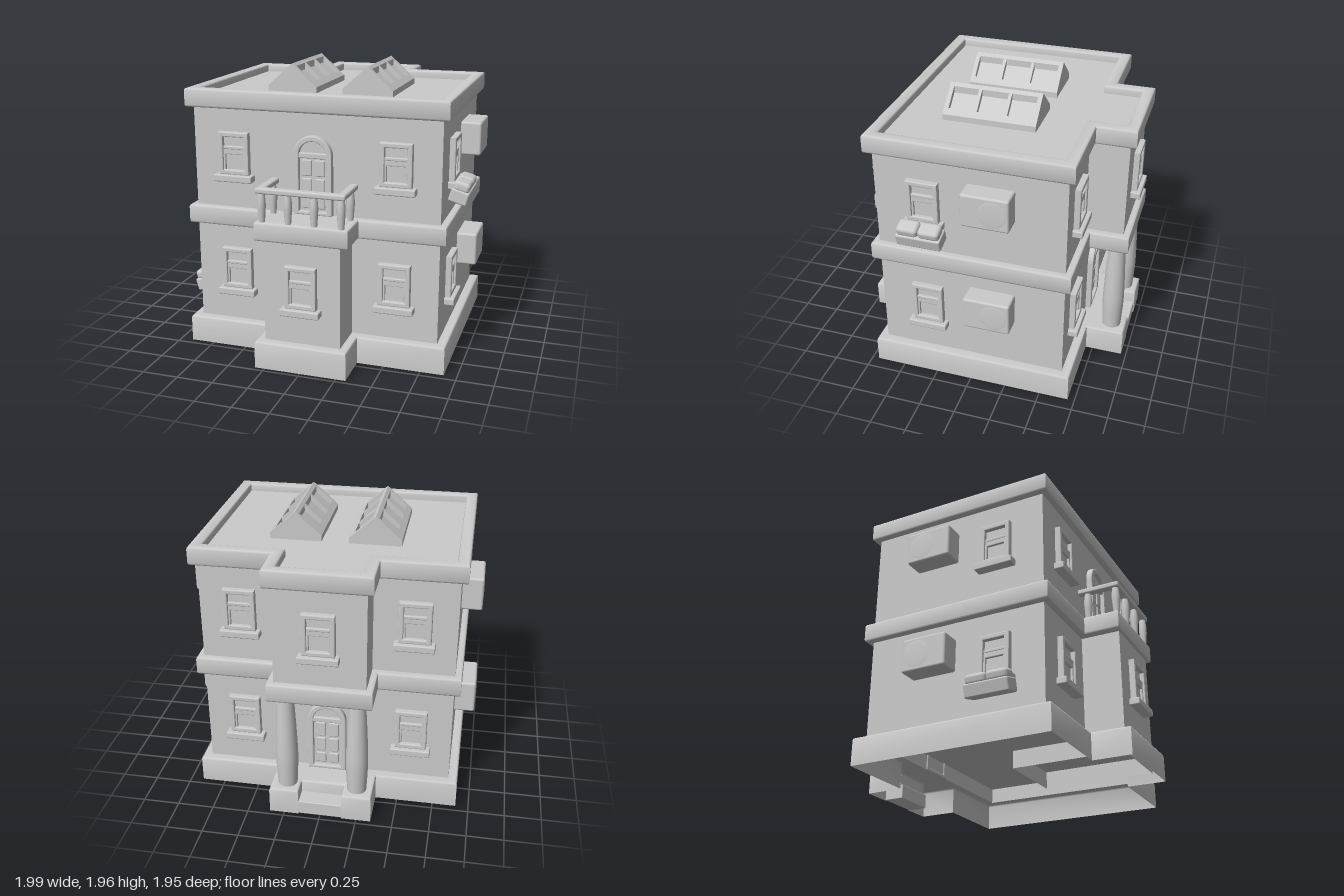
import * as THREE from 'three';
import { toCreasedNormals } from 'three/addons/utils/BufferGeometryUtils.js';
import { RoundedBoxGeometry } from 'three/addons/geometries/RoundedBoxGeometry.js';

const mat = new THREE.MeshStandardMaterial({ color: 0xcccccc, side: THREE.DoubleSide });

function mesh(name, geo, x = 0, y = 0, z = 0) {
  const m = new THREE.Mesh(geo, mat);
  m.name = name;
  m.position.set(x, y, z);
  return m;
}
const box = (w, h, d, r = 0.01) => new RoundedBoxGeometry(w, h, d, 2, r);
const lathe = (pts, n = 20) =>
  new THREE.LatheGeometry(new THREE.SplineCurve(pts.map(p => new THREE.Vector2(...p))).getPoints(16), n);

// Floor plan with optional front and back bays [half width, z] and porch notch, grown outward by o
const plan = ({ front, back, notch }) => o => {
  const W = 0.85 + o, D = 0.64 + o, p = [[-W, D]];
  if (front) {
    const w = front[0] + o, z = front[1] + o;
    p.push([-w, D], [-w, z], [w, z], [w, D]);
  }
  p.push([W, D], [W, -D]);
  if (back) {
    const w = back[0] + o, z = -back[1] - o, n = 0.21 - o, nz = -0.78 - o;
    p.push([w, -D], [w, z]);
    if (notch) p.push([n, z], [n, nz], [-n, nz], [-n, z]);
    p.push([-w, z], [-w, -D]);
  }
  p.push([-W, -D]);
  return p;
};

// Sweeps a profile of [offset, y] points around a plan
function band(planAt, profile) {
  const pos = [], rings = profile.map(([o, y]) => planAt(o).map(([x, z]) => [x, y, z]));
  for (let r = 0; r + 1 < rings.length; r++) {
    const lo = rings[r], hi = rings[r + 1];
    for (let i = 0; i < lo.length; i++) {
      const j = (i + 1) % lo.length;
      pos.push(...lo[i], ...lo[j], ...hi[j], ...lo[i], ...hi[j], ...hi[i]);
    }
  }
  const g = new THREE.BufferGeometry();
  g.setAttribute('position', new THREE.Float32BufferAttribute(pos, 3));
  return toCreasedNormals(g, 0.9);
}
const shapeOf = pts => new THREE.Shape(pts.map(([x, y]) => new THREE.Vector2(x, y)));
const slab = pts => new THREE.ShapeGeometry(shapeOf(pts.map(([x, z]) => [x, -z]))).rotateX(-Math.PI / 2);
const rect = (w, h, y = 0) => [[-w / 2, y - h / 2], [w / 2, y - h / 2], [w / 2, y + h / 2], [-w / 2, y + h / 2]];

function frameGeo(outer, inner, depth, bevel = 0.007) {
  outer.holes.push(inner);
  return new THREE.ExtrudeGeometry(outer, {
    depth: depth - bevel, bevelThickness: bevel, bevelSize: bevel, bevelOffset: -bevel,
    bevelSegments: 2, curveSegments: 16,
  });
}

// Sash window facing +z, centred on its frame
function makeWindow() {
  const g = new THREE.Group();
  g.name = 'window';
  g.add(mesh('frame', frameGeo(shapeOf(rect(0.215, 0.29)), shapeOf(rect(0.15, 0.225)), 0.04)));
  g.add(mesh('glass', box(0.17, 0.25, 0.02, 0.004)));
  g.add(mesh('lowerSash', frameGeo(shapeOf(rect(0.16, 0.17, -0.04)), shapeOf(rect(0.125, 0.105, -0.06)), 0.026, 0.005)));
  g.add(mesh('meetingRail', box(0.155, 0.022, 0.045, 0.006), 0, 0.038, 0.006));
  g.add(mesh('sill', box(0.27, 0.048, 0.085, 0.008), 0, -0.167, 0.025));
  return g;
}

function archShape(r, bottom, spring) {
  const s = new THREE.Shape();
  s.moveTo(-r, bottom);
  s.lineTo(r, bottom);
  s.absarc(0, spring, r, 0, Math.PI, false);
  return s;
}

// Arched door facing +z, standing on its threshold
function makeDoor() {
  const g = new THREE.Group();
  g.name = 'door';
  g.add(mesh('frame', frameGeo(archShape(0.132, 0, 0.4), archShape(0.095, 0.025, 0.4), 0.04)));
  g.add(mesh('leaf', new THREE.ExtrudeGeometry(archShape(0.11, 0, 0.4), { depth: 0.01, bevelEnabled: false })));
  g.add(mesh('transom', box(0.2, 0.035, 0.05, 0.006), 0, 0.4, 0.008));
  for (const x of [-0.045, 0.045])
    for (const [y, h] of [[0.315, 0.11], [0.19, 0.11], [0.08, 0.08]])
      g.add(mesh('panel', box(0.068, h, 0.02, 0.008), x, y, 0.01));
  return g;
}

// Gabled skylight with recessed panes, base at y = 0
function makeSkylight() {
  const g = new THREE.Group();
  g.name = 'skylight';
  const prism = (w, wall, top, d) => new THREE.ExtrudeGeometry(
    shapeOf([[-w, 0], [w, 0], [w, wall], [0, top], [-w, wall]]), { depth: d, bevelEnabled: false }).translate(0, 0, -d / 2);
  g.add(mesh('panes', prism(0.14, 0.03, 0.15, 0.6)));
  for (const [z, d] of [[-0.3, 0.03], [-0.102, 0.022], [0.102, 0.022], [0.3, 0.03]])
    g.add(mesh('rafter', prism(0.175, 0.04, 0.195, d), 0, 0, z));
  g.add(mesh('ridge', new THREE.ExtrudeGeometry(shapeOf([[-0.022, 0.11], [0.022, 0.11], [0.022, 0.176], [0, 0.195], [-0.022, 0.176]]),
    { depth: 0.6, bevelEnabled: false }), 0, 0, -0.3));
  for (const s of [-1, 1]) {
    const eave = mesh('eave', new THREE.ExtrudeGeometry(shapeOf([[0.13, 0], [0.175, 0], [0.175, 0.04], [0.14, 0.071]]),
      { depth: 0.6, bevelEnabled: false }), 0, 0, s > 0 ? -0.3 : 0.3);
    if (s < 0) eave.rotation.y = Math.PI;
    g.add(eave);
  }
  return g;
}

// Tipped flower trough hanging on the +x side
function makePlanter() {
  const g = new THREE.Group();
  g.name = 'planter';
  g.add(mesh('trough', box(0.125, 0.09, 0.305, 0.012)));
  for (const z of [-0.073, 0.073]) g.add(mesh('plant', box(0.105, 0.07, 0.146, 0.025), 0, 0.067, z));
  g.rotation.z = -0.28;
  return g;
}

export function createModel() {
  const model = new THREE.Group();
  const backBay = [0.304, 0.905];
  const lower = plan({ front: [0.262, 0.907] }), upper = plan({ back: backBay });
  const both = plan({ front: [0.272, 0.882], back: backBay });
  const base = plan({ front: [0.255, 0.907], back: [0.288, 0.903], notch: true });
  const place = (obj, x, y, z, turn = 0) => {
    obj.position.set(x, y, z);
    obj.rotation.y = turn;
    model.add(obj);
  };

  // Plinth, hollow underneath, with a step cut into the porch
  model.add(mesh('plinth', band(base, [[0.062, 0], [0.062, 0.175], [0.057, 0.186], [0.047, 0.19], [0, 0.19]])));
  model.add(mesh('porchFloor', slab([[0.288, -0.64], [0.288, -0.903], [0.21, -0.903], [0.21, -0.78],
    [-0.21, -0.78], [-0.21, -0.903], [-0.288, -0.903], [-0.288, -0.64]]), 0, 0.19));
  model.add(mesh('porchStep', box(0.31, 0.1, 0.14, 0.006), 0, 0.05, -0.89));
  model.add(mesh('underFloor', slab(lower(0)), 0, 0.3));

  // Foot of the front bay, reaching back under the house
  const foot = [[-0.262, 0.9], [0.262, 0.9], [0.262, 0.12], [-0.262, 0.12]];
  model.add(mesh('bayFooting', band(() => foot, [[0, 0.05], [0, 0.17]])));
  model.add(mesh('bayFootingTop', slab(foot), 0, 0.17));

  // Walls
  model.add(mesh('lowerWalls', band(lower, [[0, 0.19], [0, 0.9]])));
  model.add(mesh('upperWalls', band(upper, [[0, 1], [0, 1.7]])));

  // Ledge between the storeys, also balcony floor and porch ceiling
  model.add(mesh('ledge', band(both, [[0, 0.88], [0.03, 0.88], [0.041, 0.884], [0.045, 0.895],
    [0.045, 0.995], [0.041, 1.006], [0.03, 1.01], [0, 1.01]])));
  model.add(mesh('ledgeTop', slab(both(0)), 0, 1.01));
  model.add(mesh('ledgeUnderside', slab(both(0)), 0, 0.88));

  // Cornice, parapet and roof
  model.add(mesh('cornice', band(upper, [[0, 1.688], [0.03, 1.688], [0.041, 1.692], [0.045, 1.703], [0.045, 1.8],
    [0.041, 1.811], [0.03, 1.815], [-0.02, 1.815], [-0.031, 1.811], [-0.035, 1.8], [-0.035, 1.76]])));
  model.add(mesh('roof', slab(upper(-0.035)), 0, 1.76));
  for (const x of [-0.267, 0.267]) place(makeSkylight(), x, 1.76, 0);

  // Front, back and side windows, air conditioners
  for (const [i, y] of [0.575, 1.387].entries()) {
    for (const s of [-1, 1]) {
      place(makeWindow(), s * 0.557, y, 0.64);
      place(makeWindow(), s * 0.577, y, -0.64, Math.PI);
      place(makeWindow(), s * 0.85, y, 0.305, s * Math.PI / 2);
      const unit = new THREE.Group();
      unit.name = 'airConditioner';
      unit.add(mesh('casing', box(0.15, 0.23, 0.318, 0.015)));
      unit.add(mesh('fan', new THREE.SphereGeometry(0.092, 28, 14).scale(0.04, 1, 1), s * 0.0745, 0, -0.05));
      place(unit, s * 0.915, 0.647 + i * 0.8, -0.146);
    }
  }
  place(makeWindow(), 0, 0.59, 0.907);
  place(makeWindow(), 0, 1.387, -0.905, Math.PI);

  // Doors
  place(makeDoor(), 0, 1.01, 0.64);
  place(makeDoor(), 0, 0.19, -0.64, Math.PI);

  // Planters, one on each side
  place(makePlanter(), 0.925, 1.152, 0.307);
  const lowPlanter = new THREE.Group();
  lowPlanter.name = 'lowerPlanter';
  lowPlanter.add(makePlanter());
  place(lowPlanter, -0.925, 0.335, 0.307, Math.PI);

  // Porch columns
  for (const x of [-0.24, 0.24])
    model.add(mesh('column', lathe([[0.066, 0.19], [0.074, 0.35], [0.075, 0.45], [0.068, 0.65], [0.056, 0.88]], 24), x, 0, -0.86));

  // Balcony railing
  const baluster = lathe([[0.02, 1.01], [0.024, 1.06], [0.028, 1.12], [0.026, 1.165], [0.02, 1.21]], 14);
  for (const [x, z] of [[-0.268, 0.9], [-0.088, 0.9], [0.088, 0.9], [0.268, 0.9], [-0.268, 0.7], [0.268, 0.7]])
    model.add(mesh('baluster', baluster, x, 0, z));
  model.add(mesh('frontRail', box(0.605, 0.038, 0.056, 0.012), 0, 1.22, 0.903));
  for (const x of [-0.274, 0.274]) model.add(mesh('sideRail', box(0.056, 0.038, 0.28, 0.012), x, 1.22, 0.775));

  return model;
}
